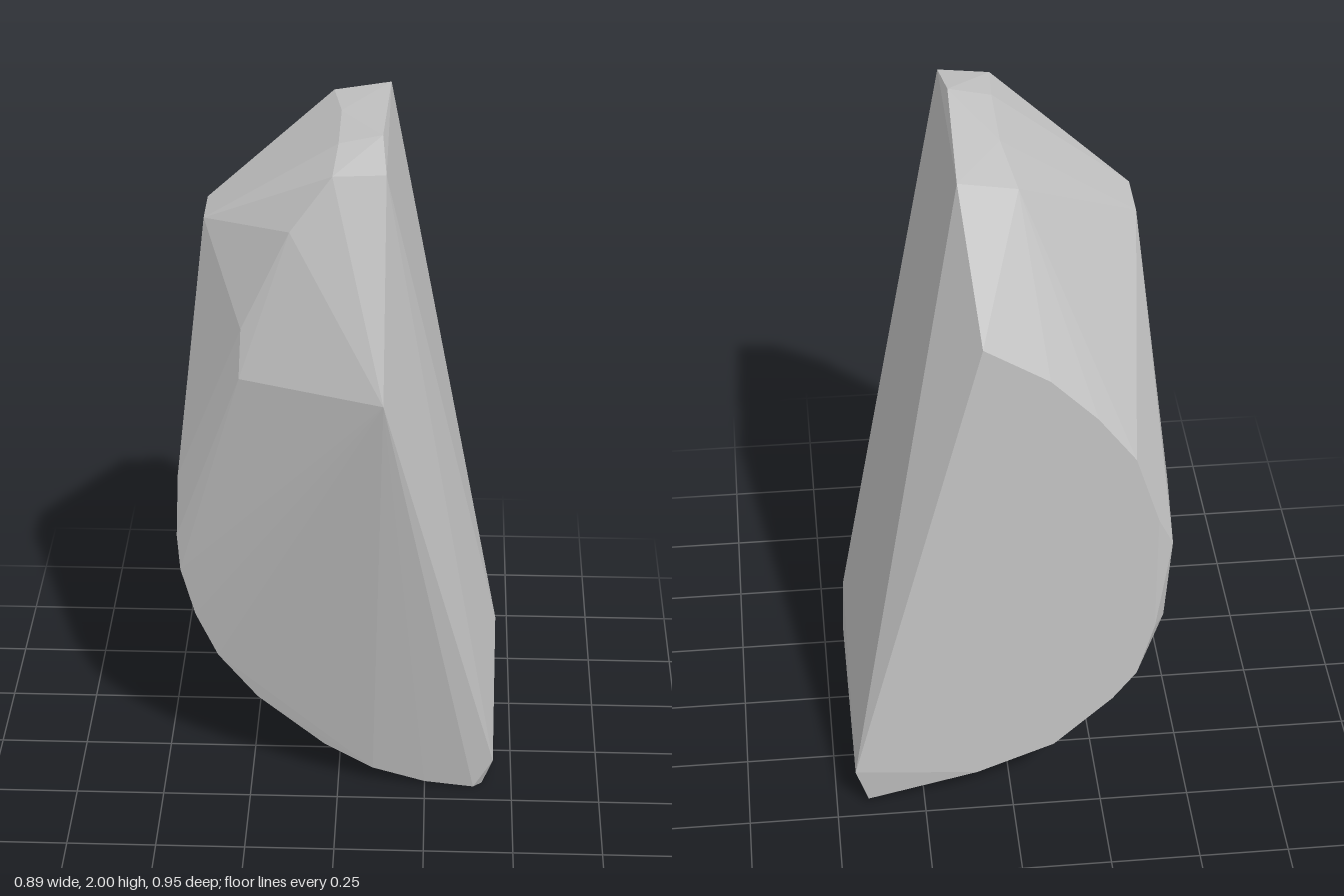
import * as THREE from 'three';
import { ConvexGeometry } from 'three/addons/geometries/ConvexGeometry.js';

export function createModel() {
  const stone = new THREE.MeshStandardMaterial({ color: 0xc4c4c4 });
  stone.name = 'greyStone';
  stone.flatShading = true;

  // Rounded belly: the curved edge as it runs along the front (x, y, z)
  const frontRim = [
    [-0.437, 1.02, 0.19], [-0.445, 0.83, 0.19], [-0.438, 0.72, 0.188], [-0.40, 0.57, 0.18],
    [-0.34, 0.43, 0.17], [-0.23, 0.285, 0.16], [-0.04, 0.13, 0.165],
    [0.1, 0.06, 0.18], [0.25, 0.02, 0.185], [0.39, 0.008, 0.19],
  ];
  // Outline of the flat back (x, y), at z = -0.475
  const backRim = [
    [0.08, 1.59], [-0.094, 1.48], [-0.22, 1.35], [-0.323, 1.21], [-0.39, 1.0],
    [-0.39, 0.625], [-0.345, 0.46], [-0.28, 0.37], [-0.117, 0.21], [0.1, 0.12],
    [0.445, 0.15],
  ].map(([x, y]) => [x, y, -0.475]);
  // Left flank, with its narrow chamfer towards the back
  const flank = [
    [-0.434, 0.9, -0.45], [-0.42, 0.63, -0.43],
    [-0.446, 0.85, -0.2], [-0.437, 1.0, -0.3], [-0.43, 1.1, 0],
  ];
  const underside = [
    [0.415, 0.005, 0.165], [0.44, 0.005, 0.03], [0.42, 0.005, -0.3], [0.41, 0.03, -0.46],
    [0.25, 0.018, -0.2], [0.1, 0.058, -0.2],
  ];
  // Crown facets
  const crown = [
    [0.115, 2.0, 0.13], [0.128, 1.98, -0.3], [0.128, 1.96, 0.3], [-0.01, 1.95, 0.29],
    [0, 1.975, 0.13], [0, 1.975, -0.1], [-0.027, 1.955, -0.3],
    [-0.12, 1.8, 0.304], [-0.25, 1.52, 0.3],
    [-0.36, 1.73, 0.06], [-0.36, 1.73, -0.08],
  ];
  // Brow of the front and the corners of the sloping right side
  const corners = [
    [0.128, 1.39, 0.475], [-0.255, 1.39, 0.33],
    [0.445, 0.1, 0.19], [0.445, 0.46, -0.01],
  ];

  const points = [...frontRim, ...backRim, ...flank, ...underside, ...crown, ...corners]
    .map((p) => new THREE.Vector3(...p));
  const rock = new THREE.Mesh(new ConvexGeometry(points), stone);
  rock.name = 'rock';

  const group = new THREE.Group();
  group.name = 'boulder';
  group.add(rock);
  return group;
}
